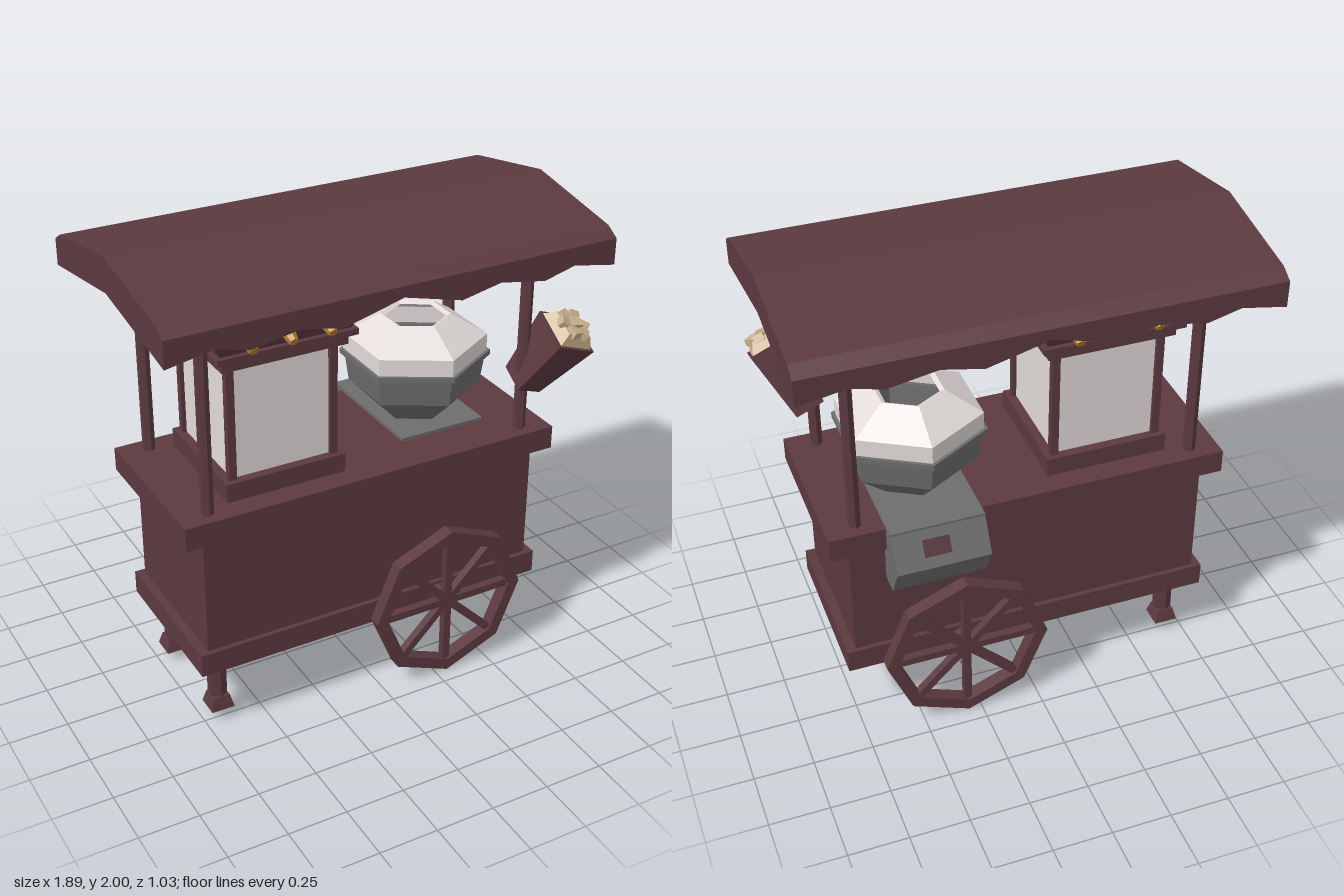
import * as THREE from 'three';

const paint = (color) => new THREE.MeshStandardMaterial({ color, flatShading: true, side: THREE.DoubleSide });

export function createModel() {
  const cart = new THREE.Group();
  const wood = paint(0x5c3a40), grey = paint(0x6e6d6d), pale = paint(0xe2dbda);
  const brass = paint(0xb8802a), cream = paint(0xc8b18c);

  const add = (name, geometry, material, x = 0, y = 0, z = 0, parent = cart) => {
    const mesh = new THREE.Mesh(geometry, material);
    mesh.name = name;
    mesh.position.set(x, y, z);
    parent.add(mesh);
    return mesh;
  };
  // Box given by its size, centre x, bottom and top heights, and centre z
  const block = (name, w, d, x, y0, y1, z = 0, material = wood, parent = cart) =>
    add(name, new THREE.BoxGeometry(w, y1 - y0, d), material, x, (y0 + y1) / 2, z, parent);
  // Square tapering block; half widths at the top and bottom
  const taper = (top, bottom, h) =>
    new THREE.CylinderGeometry(top * Math.SQRT2, bottom * Math.SQRT2, h, 4).rotateY(Math.PI / 4);
  const lathe = (profile, sides) =>
    new THREE.LatheGeometry(profile.map(([r, y]) => new THREE.Vector2(r, y)), sides);

  // Cart body
  block('body', 1.5, 0.64, 0, 0.32, 0.95);
  block('basePlinth', 1.575, 0.68, 0, 0.3, 0.4);
  block('counter', 1.665, 0.704, 0, 0.91, 1.01);

  // Canopy posts and front legs
  for (const z of [-1, 1]) {
    for (const x of [-0.71, 0.71])
      add('canopyPost', new THREE.CylinderGeometry(0.026, 0.026, 0.92, 6), wood, x, 1.46, z * 0.283);
    add('leg', new THREE.CylinderGeometry(0.04, 0.04, 0.21, 6), wood, -0.675, 0.205, z * 0.22);
    add('foot', taper(0.036, 0.05, 0.055), wood, -0.675, 0.0775, z * 0.227);
  }

  // Canopy: gabled cross-sections lofted along x with a scalloped lower edge
  const scallop = [[-0.945, 1.775], [-0.755, 1.81], [-0.62, 1.775], [-0.42, 1.81], [-0.25, 1.775], [0, 1.84],
    [0.25, 1.775], [0.42, 1.81], [0.62, 1.775], [0.755, 1.81], [0.945, 1.775]];
  const rings = scallop.map(([x, s]) => [[2, 0], [1.92, 0.46], [1.885, 0.517], [s, 0.517], [1.856, 0],
    [s, -0.517], [1.885, -0.517], [1.92, -0.46]].map(([y, z]) => [x, y, z]));
  const corners = [];
  for (let i = 0; i < rings.length - 1; i++) {
    const a = rings[i], b = rings[i + 1];
    for (let j = 0; j < 8; j++) {
      const k = (j + 1) % 8;
      corners.push(a[j], a[k], b[k], a[j], b[k], b[j]);
    }
  }
  const first = rings[0], last = rings[rings.length - 1];
  for (let j = 1; j < 7; j++) {
    const p = (4 + j) % 8, q = (5 + j) % 8;
    corners.push(last[4], last[p], last[q], first[4], first[q], first[p]);
  }
  const canopy = new THREE.BufferGeometry();
  canopy.setAttribute('position', new THREE.Float32BufferAttribute(corners.flat(), 3));
  canopy.computeVertexNormals();
  add('canopy', canopy, wood);

  // Wheels: octagonal rim with eight spokes on a shared axle
  const octagon = (r) => Array.from({ length: 8 }, (_, i) =>
    new THREE.Vector2(r * Math.sin(i * Math.PI / 4), r * Math.cos(i * Math.PI / 4)));
  const rimShape = new THREE.Shape(octagon(0.347));
  rimShape.holes.push(new THREE.Path(octagon(0.295)));
  const rimGeometry = new THREE.ExtrudeGeometry(rimShape, { depth: 0.058, bevelEnabled: false }).translate(0, 0, -0.029);
  for (const z of [-0.404, 0.404]) {
    const wheel = new THREE.Group();
    wheel.name = 'wheel';
    wheel.position.set(0.305, 0.348, z);
    cart.add(wheel);
    add('rim', rimGeometry, wood, 0, 0, 0, wheel);
    for (let i = 0; i < 4; i++)
      add('spokePair', new THREE.BoxGeometry(0.032, 0.6, 0.034), wood, 0, 0, 0, wheel).rotation.z = i * Math.PI / 4;
  }
  add('axle', new THREE.CylinderGeometry(0.04, 0.04, 0.8, 8).rotateX(Math.PI / 2), wood, 0.305, 0.35, 0);

  // Popcorn cabinet
  const cabinet = new THREE.Group();
  cabinet.name = 'popcornCabinet';
  cabinet.position.x = -0.356;
  cart.add(cabinet);
  block('cabinetBase', 0.514, 0.514, 0, 1.0, 1.09, 0, wood, cabinet);
  block('glass', 0.436, 0.436, 0, 1.09, 1.57, 0, pale, cabinet);
  for (const x of [-0.219, 0.219])
    for (const z of [-0.219, 0.219]) block('cornerPost', 0.032, 0.032, x, 1.09, 1.57, z, wood, cabinet);
  block('cabinetLintel', 0.53, 0.53, 0, 1.57, 1.615, 0, wood, cabinet);
  block('cabinetCornice', 0.588, 0.588, 0, 1.615, 1.64, 0, wood, cabinet);
  const crown = [[0, 1.64], [0.272, 1.64], [0.312, 1.72], [0.25, 1.796], [0, 1.796]]
    .map(([r, y]) => [r * Math.SQRT2, y]);
  add('crown', lathe(crown, 4).rotateY(Math.PI / 4), wood, 0, 0, 0, cabinet);

  // Three lamps on each side of the crown
  for (let side = 0; side < 4; side++) {
    const row = new THREE.Group();
    row.name = 'lampRow';
    row.rotation.y = side * Math.PI / 2;
    cabinet.add(row);
    for (const x of [-0.163, 0, 0.163])
      add('lamp', new THREE.CylinderGeometry(0.018, 0.028, 0.055, 6), brass, x, 1.677, 0.308, row)
        .rotation.x = Math.PI / 2 + 0.4;
  }

  // Candy floss machine: hexagonal bowl and open dome
  const machine = new THREE.Group();
  machine.name = 'candyFlossMachine';
  machine.position.set(0.412, 0, -0.07);
  cart.add(machine);
  add('bowl', lathe([[0, 1.02], [0.145, 1.02], [0.275, 1.145], [0.292, 1.262], [0.313, 1.265], [0.313, 1.287],
    [0.28, 1.287], [0.26, 1.16], [0, 1.06]], 6), grey, 0, 0, 0, machine);
  add('dome', lathe([[0.298, 1.285], [0.298, 1.36], [0.145, 1.45], [0.125, 1.44]], 6), pale, 0, 0, 0, machine);
  add('spinner', new THREE.CylinderGeometry(0.06, 0.07, 0.16, 6), grey, 0, 1.14, 0, machine);

  // Machine tray with the control box hanging behind the counter
  block('tray', 0.385, 0.575, 0.412, 1.01, 1.025, -0.122, grey);
  const boxShape = new THREE.Shape([[0.31, 1.02], [0.31, 0.74], [0.407, 0.74], [0.487, 0.88], [0.407, 1.02]]
    .map(([z, y]) => new THREE.Vector2(z, y)));
  const controlBox = new THREE.ExtrudeGeometry(boxShape, { depth: 0.385, bevelEnabled: false });
  add('controlBox', controlBox.rotateY(Math.PI / 2), grey, 0.2195, 0, 0);
  const display = add('display', new THREE.BoxGeometry(0.11, 0.07, 0.006), wood, 0.43, 0.95, -0.447);
  display.rotation.x = Math.atan2(0.08, 0.14);

  // Tilted popcorn carton by the front corner post
  const carton = new THREE.Group();
  carton.name = 'popcornCarton';
  const foot = new THREE.Vector3(0.735, 1.21, 0.255);
  const axis = new THREE.Vector3(0.84, 1.46, 0.39).sub(foot);
  const height = axis.length();
  carton.position.copy(foot);
  carton.quaternion.setFromUnitVectors(new THREE.Vector3(0, 1, 0), axis.normalize());
  cart.add(carton);
  add('cartonSides', taper(0.097, 0.062, height), wood, 0, height / 2, 0, carton);
  add('popcornHeap', taper(0.06, 0.086, 0.045), cream, 0, height + 0.022, 0, carton);
  for (let i = 0; i < 7; i++) {
    const r = i ? 0.05 : 0, t = i * Math.PI / 3;
    const kernel = add('popcornKernel', new THREE.BoxGeometry(0.05, 0.03, 0.045), cream,
      r * Math.cos(t), height + (i ? 0.042 : 0.05), r * Math.sin(t), carton);
    kernel.rotation.set(0.15 * Math.sin(3 * i), i * 0.9, 0.2 * Math.cos(2 * i));
  }
  return cart;
}
